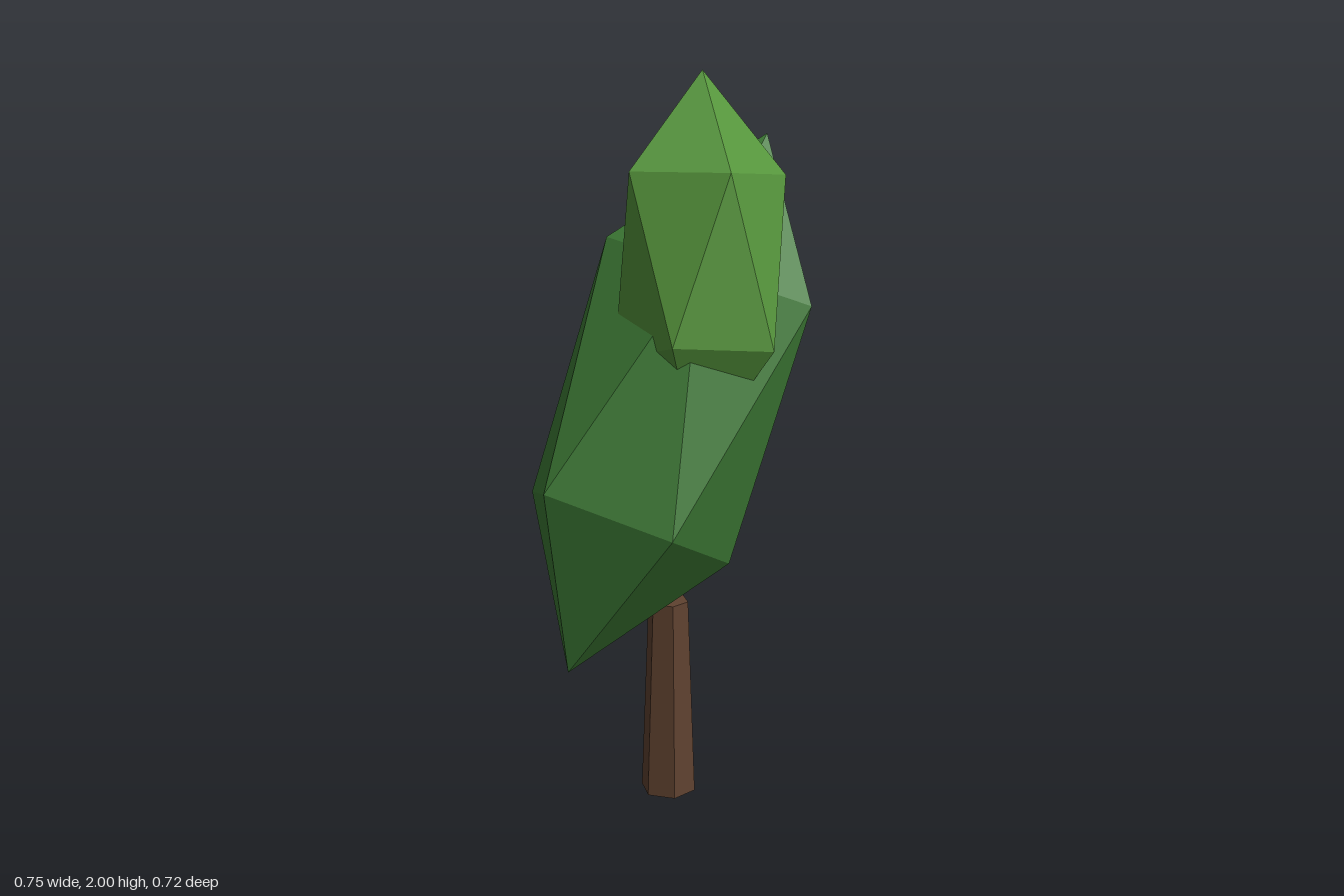
import * as THREE from 'three';
import { ConvexGeometry } from 'three/addons/geometries/ConvexGeometry.js';

const mat = (color) => new THREE.MeshStandardMaterial({ color, flatShading: true });

// Stretched icosahedron: six corner offsets, each mirrored through the centre
function foliage(name, color, center, offsets) {
  const points = [];
  for (const o of offsets) {
    const p = new THREE.Vector3(...o);
    points.push(p, p.clone().negate());
  }
  const mesh = new THREE.Mesh(new ConvexGeometry(points), mat(color));
  mesh.position.set(...center);
  mesh.name = name;
  return mesh;
}

export function createModel() {
  const tree = new THREE.Group();
  tree.name = 'tree';

  // Tapered six-sided trunk
  const height = 0.565;
  const trunk = new THREE.Mesh(new THREE.CylinderGeometry(0.057, 0.078, height, 6), mat(0x5f4230));
  trunk.position.y = height / 2;
  trunk.name = 'trunk';

  // Large leaning crown
  const crown = foliage('mainCrown', 0x3d7a35, [0, 1.13, 0], [
    [0.31, 0.69, -0.15], [0.35, 0.27, 0.145], [0.075, 0.275, -0.36],
    [0.375, 0.175, -0.2], [-0.14, 0.43, -0.12], [0.033, 0.393, 0.2],
  ]);

  // Lighter upper clump at the front
  const upper = foliage('upperClump', 0x56963c, [0.07, 1.5, 0.06], [
    [0.02, 0.5, -0.06], [0.03, 0.265, 0.19], [0.225, 0.235, 0.015],
    [-0.2, 0.26, 0.06], [-0.145, 0.19, -0.2], [0.125, 0.165, -0.215],
  ]);

  // Small pale clump behind the trunk top
  const lower = foliage('lowerClump', 0x78ad4b, [-0.07, 0.735, -0.057], [
    [0.24, 0.06, 0.007], [0.115, 0.05, -0.198], [-0.1, 0.09, -0.163],
    [0.17, -0.157, -0.083], [-0.06, -0.132, -0.183], [-0.045, -0.225, 0.037],
  ]);

  tree.add(trunk, crown, upper, lower);
  return tree;
}
